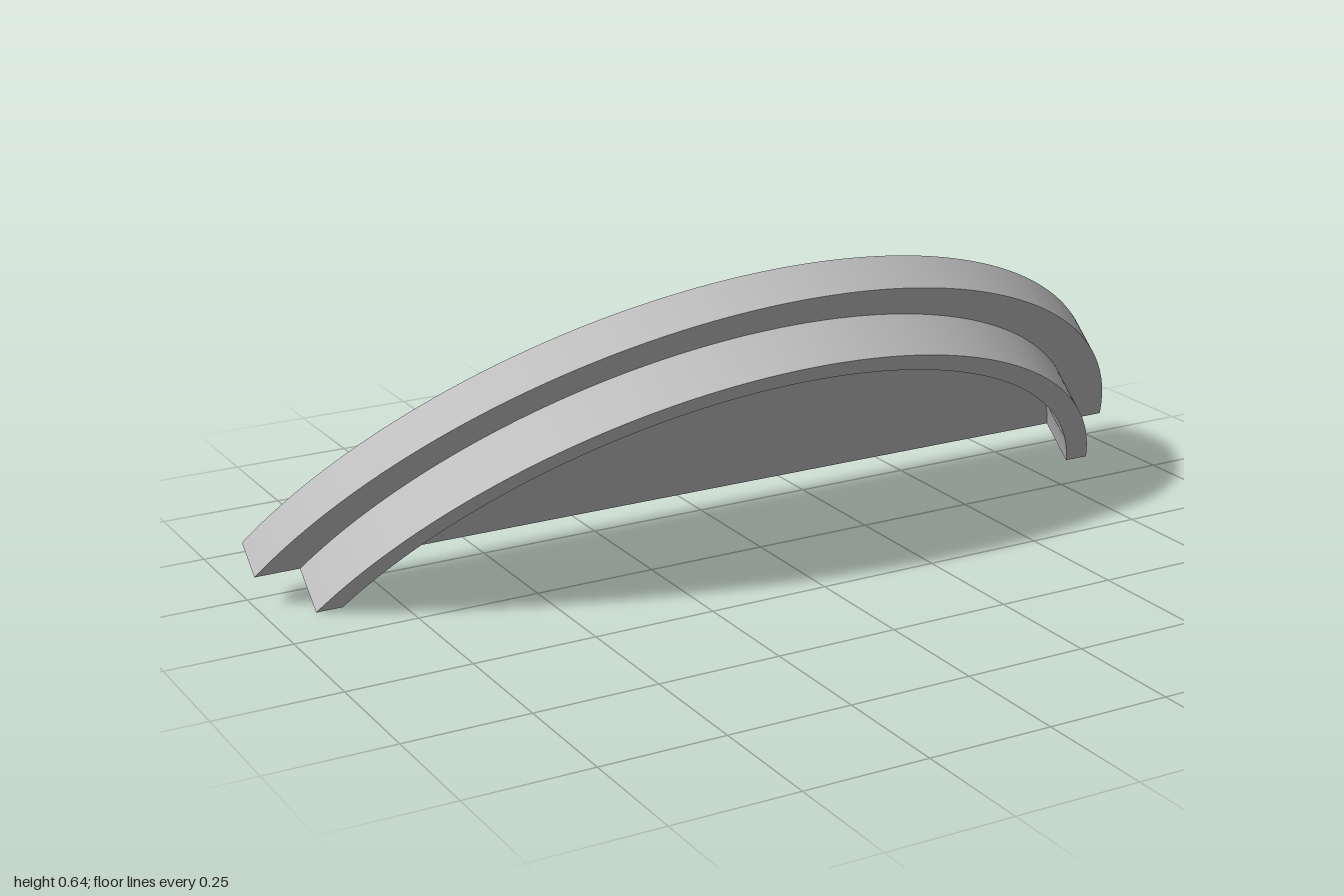
import * as THREE from 'three';
import { toCreasedNormals } from 'three/addons/utils/BufferGeometryUtils.js';

const CENTRE = -0.3905; // arc centre, below the straight edge

// Start angle at which a circle of radius r meets the straight edge
const startAngle = (r) => Math.asin(-CENTRE / r);

function extrude(shape, depth) {
  const g = new THREE.ExtrudeGeometry(shape, { depth, bevelEnabled: false, curveSegments: 72 });
  return toCreasedNormals(g, 0.5);
}

export function createModel() {
  const grey = new THREE.MeshStandardMaterial({ color: 0xc6c6c6 });
  grey.name = 'light grey';
  const model = new THREE.Group();
  model.name = 'segmentCover';

  const plateThickness = 0.079, rimDepth = 0.0995;
  const plateR = 1.0735, rimOuter = 0.9885, rimInner = 0.939;

  // Flat plate in the form of a circle segment
  const plateShape = new THREE.Shape();
  const a = startAngle(plateR);
  plateShape.absarc(0, CENTRE, plateR, a, Math.PI - a, false);
  plateShape.closePath();
  const plate = new THREE.Mesh(extrude(plateShape, plateThickness), grey);
  plate.name = 'plate';

  // Curved rim standing on the plate, cut off flush with the straight edge
  const rimShape = new THREE.Shape();
  const o = startAngle(rimOuter), i = startAngle(rimInner);
  rimShape.absarc(0, CENTRE, rimOuter, o, Math.PI - o, false);
  rimShape.absarc(0, CENTRE, rimInner, Math.PI - i, i, true);
  rimShape.closePath();
  const rim = new THREE.Mesh(extrude(rimShape, rimDepth), grey);
  rim.name = 'rim';
  rim.position.z = plateThickness;

  // Lean the whole piece forward
  const tilted = new THREE.Group();
  tilted.name = 'tiltedCover';
  tilted.add(plate, rim);
  tilted.rotation.x = THREE.MathUtils.degToRad(40.1);
  tilted.position.set(0, 0.115, -0.26);
  model.add(tilted);
  return model;
}
